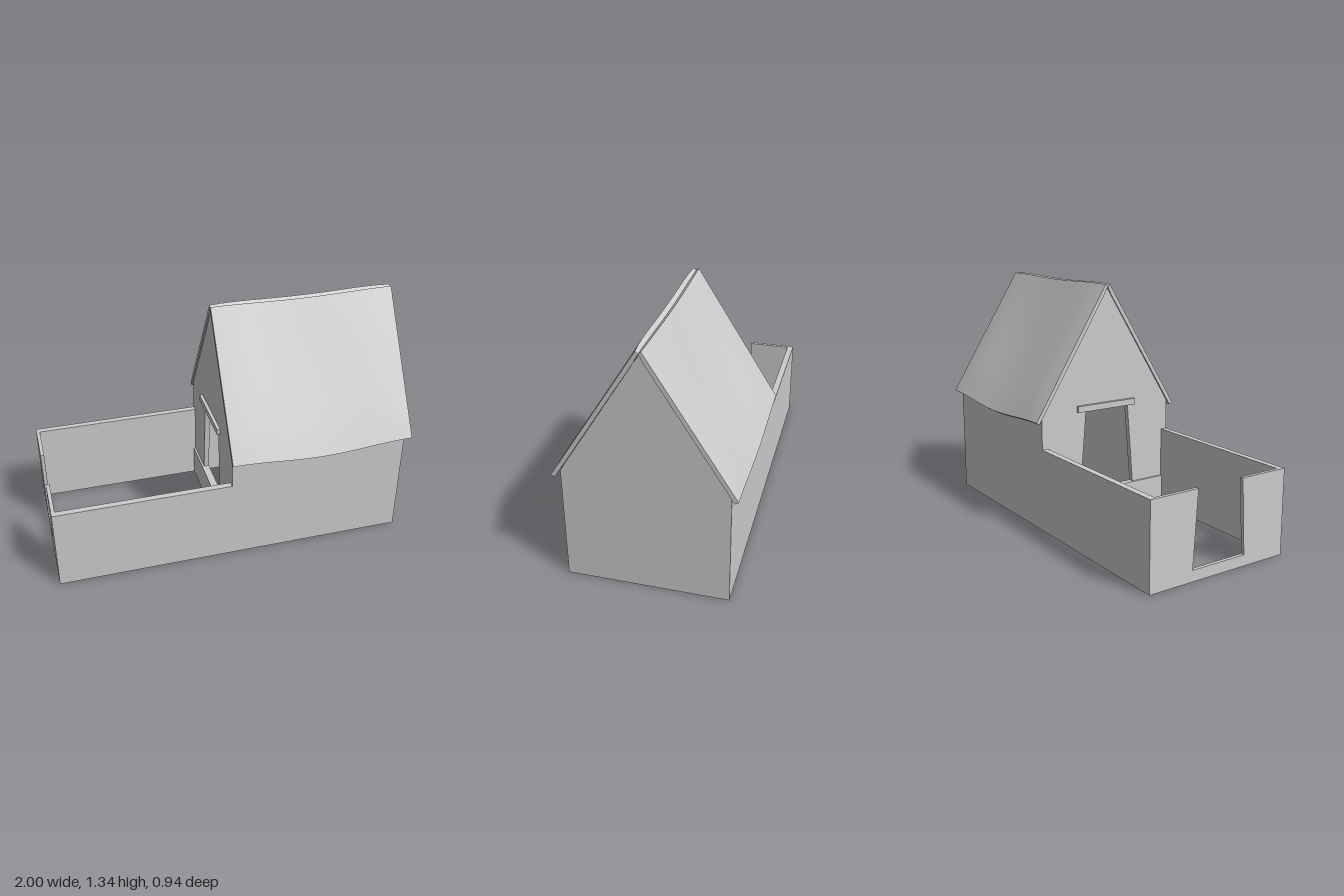
import * as THREE from 'three';

const DEPTH = 0.4225;   // half depth of the building
const HOUSE_LEFT = -0.028, HOUSE_RIGHT = 0.965, YARD_END = -0.993;
const WALL = 0.035;

export function createModel() {
  const model = new THREE.Group();
  model.name = 'houseWithYard';
  const mat = new THREE.MeshStandardMaterial({ color: 0xcccccc });

  const add = (name, geometry) => {
    const mesh = new THREE.Mesh(geometry, mat);
    mesh.name = name;
    model.add(mesh);
    return mesh;
  };
  // Box given by its min and max corners
  const box = (name, x0, x1, y0, y1, z0, z1) =>
    add(name, new THREE.BoxGeometry(x1 - x0, y1 - y0, z1 - z0))
      .position.set((x0 + x1) / 2, (y0 + y1) / 2, (z0 + z1) / 2);
  // Upright panel drawn in (z, y) and extruded toward -x from its +x face
  const panel = (name, x, thickness, outline, hole) => {
    const toPoints = list => list.map(p => new THREE.Vector2(...p));
    const shape = new THREE.Shape(toPoints(outline));
    if (hole) shape.holes.push(new THREE.Path(toPoints(hole)));
    const geometry = new THREE.ExtrudeGeometry(shape, { depth: thickness, bevelEnabled: false });
    geometry.rotateY(-Math.PI / 2);
    add(name, geometry).position.x = x;
  };

  // Long walls of the house and the yard
  for (const [side, s] of [['front', 1], ['back', -1]]) {
    const z = [s * DEPTH, s * (DEPTH - WALL)].sort((a, b) => a - b);
    box(side + 'HouseWall', HOUSE_LEFT, HOUSE_RIGHT, 0, 0.63, ...z);
    box(side + 'YardWall', YARD_END, HOUSE_LEFT, 0, 0.465, ...z);
  }

  // Gables, the yard side one with a tapered doorway
  const gable = [[-DEPTH, 0], [DEPTH, 0], [DEPTH, 0.635], [0, 1.315], [-DEPTH, 0.635]];
  const doorway = [[-0.18, 0.18], [-0.14, 0.65], [0.14, 0.65], [0.18, 0.18]];
  panel('rightGable', HOUSE_RIGHT, 0.03, gable);
  panel('doorGable', HOUSE_LEFT + 0.03, 0.03, gable, doorway);
  box('doorSill', HOUSE_LEFT - 0.012, HOUSE_LEFT, 0, 0.18, -DEPTH + WALL, DEPTH - WALL);
  box('doorLintel', HOUSE_LEFT - 0.018, HOUSE_LEFT + 0.035, 0.645, 0.68, -0.2, 0.18);

  // Yard end wall with an open gateway over a low threshold
  const inner = DEPTH - WALL;
  panel('gateWall', YARD_END + 0.02, 0.02, [
    [-inner, 0], [inner, 0], [inner, 0.465], [0.14, 0.465], [0.165, 0.06],
    [-0.165, 0.06], [-0.14, 0.465], [-inner, 0.465],
  ]);

  // Sagging, softly rounded roof slopes
  const roofLeft = -0.035, roofRight = 0.992, mid = (roofLeft + roofRight) / 2;
  const slope = side => {
    const geometry = new THREE.BoxGeometry(1, 1, 1, 16, 1, 16);
    const pos = geometry.attributes.position;
    for (let i = 0; i < pos.count; i++) {
      const u = pos.getX(i) * 2, t = pos.getZ(i) + 0.5;
      const outer = pos.getY(i) > 0;
      const sag = (1 + Math.cos(Math.PI * u)) / 2;
      const edge = Math.max(Math.pow(Math.abs(u), 6), Math.pow(t, 6));
      const push = (outer ? -0.008 * edge : -0.03) - 0.01 * sag * Math.sin(Math.PI * t);
      const z = 0.02 + 0.447 * t + 0.848 * push;
      const y = 1.34 - 0.715 * t + 0.53 * push - sag * (0.01 + 0.018 * t);
      pos.setXYZ(i, u * (roofRight - roofLeft) / 2, y, Math.max(z, 0));
    }
    geometry.computeVertexNormals();
    const mesh = add(side + 'RoofSlope', geometry);
    mesh.position.x = mid;
    if (side === 'back') mesh.rotation.y = Math.PI;
  };
  slope('front');
  slope('back');

  // The building stands slightly askew
  model.rotation.y = -0.0145;
  const root = new THREE.Group();
  root.name = 'farmhouse';
  root.add(model);
  return root;
}
